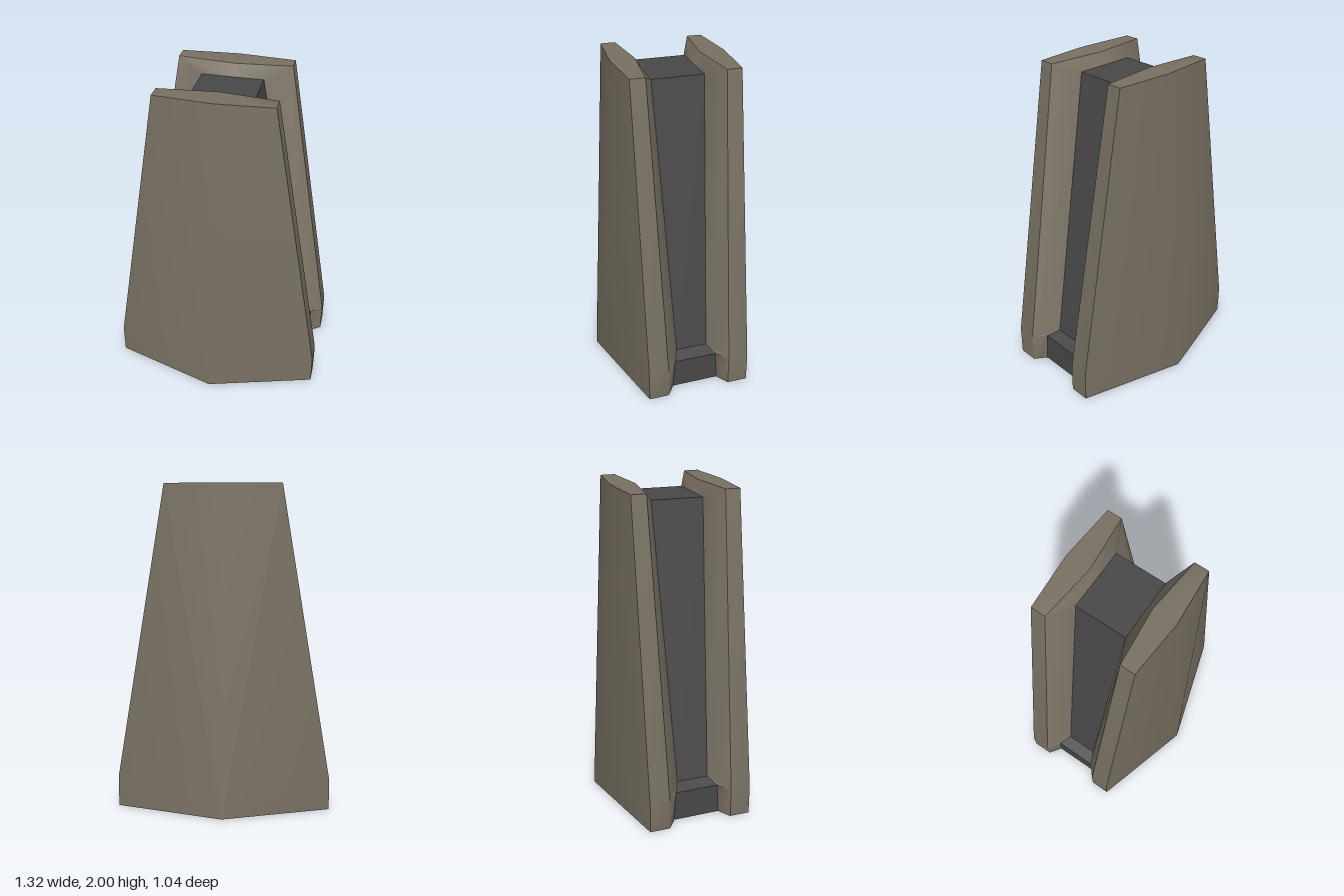
import * as THREE from 'three';
import { toCreasedNormals } from 'three/addons/utils/BufferGeometryUtils.js';

const stone = new THREE.MeshStandardMaterial({ color: 0x787062 });
stone.name = 'warm stone';
const darkMetal = new THREE.MeshStandardMaterial({ color: 0x484849 });
darkMetal.name = 'dark grey';

// Core cross-sections from bottom to top: y, half width, half depth
const sections = [[0, 0.585, 0.147], [0.195, 0.585, 0.137], [0.22, 0.505, 0.1], [1.93, 0.19, 0.16]];

// Turns lists of corners (counter-clockwise from outside) into creased triangles
function polygons(faces, crease) {
  const position = [];
  const [a, b, c] = [new THREE.Vector3(), new THREE.Vector3(), new THREE.Vector3()];
  for (const face of faces) {
    for (let i = 1; i < face.length - 1; i++) {
      const tri = [face[0], face[i], face[i + 1]];
      a.set(...tri[0]); b.set(...tri[1]); c.set(...tri[2]);
      if (b.sub(a).cross(c.sub(a)).length() > 1e-7) position.push(...tri.flat());
    }
  }
  const geometry = new THREE.BufferGeometry();
  geometry.setAttribute('position', new THREE.Float32BufferAttribute(position, 3));
  return toCreasedNormals(geometry, crease);
}

// Completes a right half (bottom to top) plus its top and bottom middle into a loop
const mirrorRing = (half, top, bottom) =>
  [...half, top, ...half.slice().reverse().map(([x, y, z]) => [-x, y, z]), bottom];

function slabGeometry() {
  const edge = (zLow, zTop) => [[0.66, 0, zLow], [0.66, 0.19, zLow], [0.66, 0.19, zLow], [0.35, 2, zTop]];
  const outer = mirrorRing(edge(0.326, 0.326), [0, 2, 0.352], [0, 0, 0.522]);
  const rim = mirrorRing(edge(0.2, 0.235), [0, 2, 0.2], [0, 0, 0.147]);
  const inner = mirrorRing(sections.map(([y, x, z]) => [x, y, z]), [0, 1.93, 0.16], [0, 0, 0.147]);
  const faces = [];
  // Side band and inner bevel
  for (const [front, back] of [[outer, rim], [rim, inner]]) {
    for (let i = 0; i < front.length; i++) {
      const j = (i + 1) % front.length;
      faces.push([front[i], back[i], back[j], front[j]]);
    }
  }
  // Ridged outer face, in two halves that meet at x = 0
  faces.push([outer[9], ...outer.slice(0, 5)], [outer[9], ...outer.slice(4, 9)]);
  // Inner face against the core
  for (let i = 0; i < 3; i++) faces.push([inner[i], inner[8 - i], inner[7 - i], inner[i + 1]]);
  return polygons(faces, THREE.MathUtils.degToRad(50));
}

function coreGeometry() {
  const rings = sections.map(([y, x, z]) => [[x, y, z], [x, y, -z], [-x, y, -z], [-x, y, z]]);
  const faces = [rings[3], rings[0].slice().reverse()];
  for (let k = 0; k < 3; k++) {
    for (let i = 0; i < 4; i++) {
      const j = (i + 1) % 4;
      faces.push([rings[k][i], rings[k][j], rings[k + 1][j], rings[k + 1][i]]);
    }
  }
  return polygons(faces, 0.1);
}

export function createModel() {
  const model = new THREE.Group();
  model.name = 'taperedPillar';

  // Dark core between the slabs
  const core = new THREE.Mesh(coreGeometry(), darkMetal);
  core.name = 'core';
  model.add(core);

  // Matching front and back slabs
  const geometry = slabGeometry();
  ['frontSlab', 'backSlab'].forEach((name, i) => {
    const slab = new THREE.Mesh(geometry, stone);
    slab.name = name;
    slab.rotation.y = i * Math.PI;
    model.add(slab);
  });
  return model;
}
